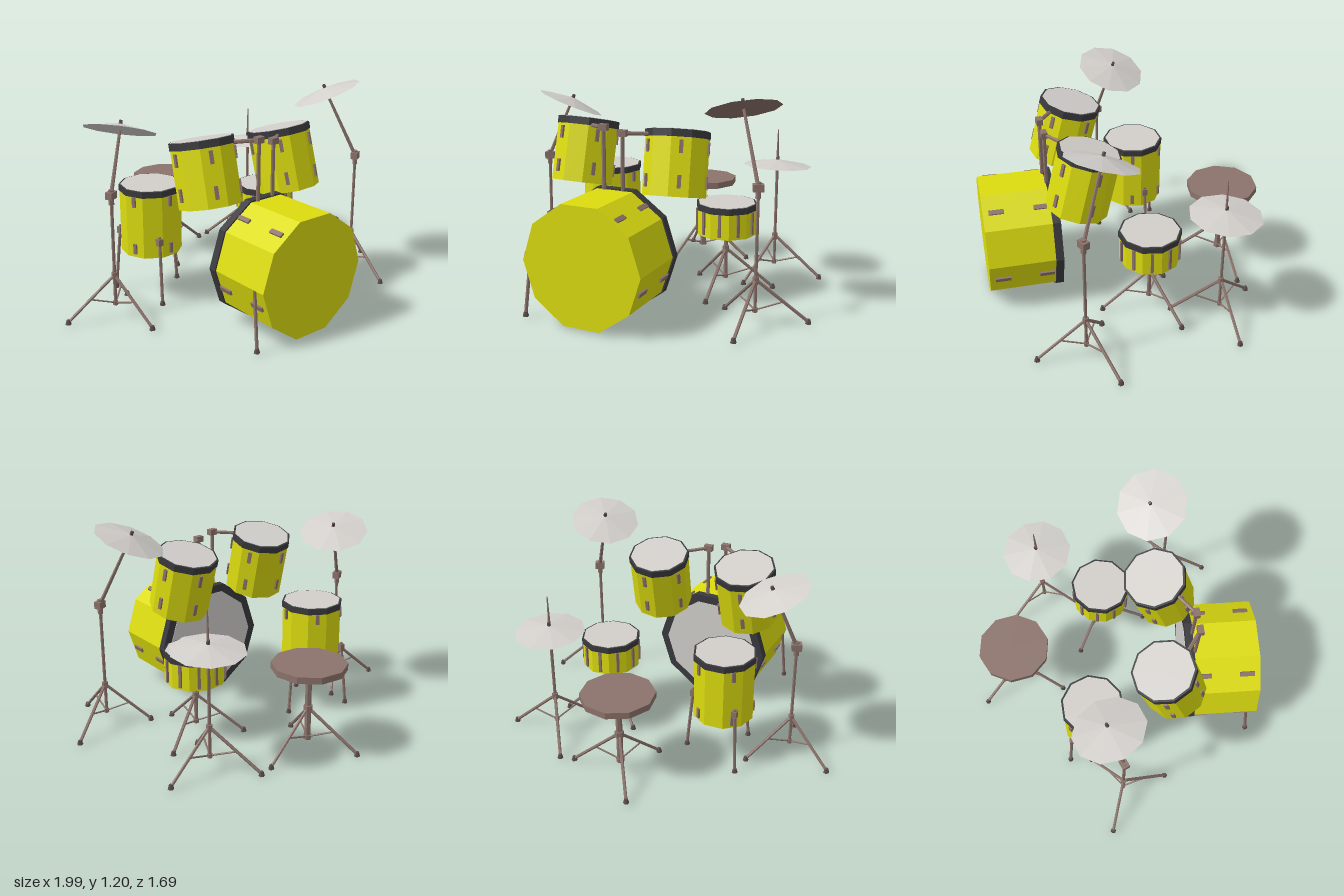
import * as THREE from 'three';

const D = Math.PI / 180;
const V = (a) => new THREE.Vector3(...a);
const material = (name, color) => {
  const m = new THREE.MeshStandardMaterial({ color, flatShading: true });
  m.name = name;
  return m;
};

export function createModel() {
  const shellYellow = material('shell yellow', 0xdcdc10);
  const rimDark = material('rim charcoal', 0x3a3a3e);
  const skinGrey = material('skin and cymbal grey', 0xd2cfcb);
  const metalBrown = material('stand brown', 0x8c736c);
  const footDark = material('foot dark brown', 0x5c4d4a);

  const root = new THREE.Group();
  root.name = 'drumKit';

  const group = (name, parent = root) => {
    const g = new THREE.Group();
    g.name = name;
    parent.add(g);
    return g;
  };
  const add = (parent, name, geometry, mat, pos = [0, 0, 0]) => {
    const m = new THREE.Mesh(geometry, mat);
    m.name = name;
    m.position.set(...pos);
    parent.add(m);
    return m;
  };
  // straight bar between two points
  const rod = (parent, name, a, b, r, r2 = r, mat = metalBrown) => {
    const d = V(b).sub(V(a));
    const m = add(parent, name, new THREE.CylinderGeometry(r2, r, d.length(), 6), mat);
    m.position.copy(V(a)).addScaledVector(d, 0.5);
    m.quaternion.setFromUnitVectors(new THREE.Vector3(0, 1, 0), d.normalize());
    return m;
  };
  const foot = (parent, x, z) =>
    add(parent, 'rubberFoot', new THREE.CylinderGeometry(0.01, 0.017, 0.026, 6), footDark, [x, 0.013, z]);

  // ten-sided drum; local +y points to the head, origin at the closed end
  function drum(name, o) {
    const g = group(name);
    g.position.set(...o.pos);
    g.rotation.set(...(o.rot || [0, 0, 0]), 'YXZ');
    const { r, h, band, phase } = o;
    const prism = (rad, len) => new THREE.CylinderGeometry(rad, rad, len, 10, 1, false, phase * D);
    add(g, 'shell', prism(r, h - band), shellYellow, [0, (h - band) / 2, 0]);
    add(g, 'rim', prism(r * 1.025, band), rimDark, [0, h - band / 2, 0]);
    add(g, 'head', prism(r * o.head, 0.006), skinGrey, [0, h, 0]);
    const apothem = r * Math.cos(18 * D);
    for (let a = 0; a < 360; a += o.step || 72) {
      const column = group('lugs', g);
      column.rotation.y = (phase + 18 + a) * D;
      for (const y of o.lugs)
        add(column, 'lug', new THREE.BoxGeometry(o.lugWidth || 0.02, o.lugLength, 0.014), metalBrown,
          [0, y, apothem + 0.004]);
    }
    return g;
  }

  drum('bassDrum', {
    pos: [-0.095, 0.33, 0.82], rot: [-Math.PI / 2, -0.07, 0], r: 0.347, h: 0.42, band: 0.045,
    phase: 18, head: 0.88, lugs: [0.075, 0.325], lugLength: 0.085, lugWidth: 0.026,
  });
  drum('leftRackTom', {
    pos: [0.232, 0.627, 0.334], rot: [-0.245, 0, 0.03], r: 0.175, h: 0.355, band: 0.04,
    phase: 9, head: 0.96, lugs: [0.08, 0.265], lugLength: 0.07,
  });
  drum('rightRackTom', {
    pos: [-0.34, 0.652, 0.3], rot: [-0.245, 0, -0.03], r: 0.175, h: 0.355, band: 0.04,
    phase: -45, head: 0.96, lugs: [0.08, 0.265], lugLength: 0.07,
  });
  drum('floorTom', {
    pos: [-0.37, 0.27, -0.18], r: 0.175, h: 0.395, band: 0.035,
    phase: -17, head: 0.96, lugs: [0.05, 0.33], lugLength: 0.06,
  });
  drum('snareDrum', {
    pos: [0.415, 0.345, -0.035], r: 0.172, h: 0.18, band: 0.035,
    phase: -14, step: 36, head: 0.96, lugs: [0.08], lugLength: 0.13, lugWidth: 0.016,
  });

  // spur of the bass drum
  const spur = group('bassDrumSpur');
  rod(spur, 'leg', [-0.435, 0.33, 0.73], [-0.453, 0.015, 0.77], 0.01);
  foot(spur, -0.453, 0.77);

  // legs of the floor tom
  const floorLegs = group('floorTomLegs');
  for (const [x, z] of [[-0.51, -0.35], [-0.16, -0.21], [-0.46, 0.02]]) {
    const k = 0.83;
    const tx = -0.37 + (x + 0.37) * k, tz = -0.18 + (z + 0.18) * k;
    rod(floorLegs, 'leg', [x, 0.015, z], [tx, 0.4, tz], 0.009);
    add(floorLegs, 'legBracket', new THREE.BoxGeometry(0.03, 0.04, 0.03), metalBrown, [tx, 0.37, tz]);
    foot(floorLegs, x, z);
  }

  // posts and arms carrying the two rack toms
  const mounts = group('tomMounts');
  for (const [x, y, ex, ez] of [[-0.13, 1.0, -0.25, 0.35], [-0.02, 0.975, 0.1, 0.36]]) {
    rod(mounts, 'post', [x, 0.6, 0.445], [x, y, 0.445], 0.011);
    add(mounts, 'clamp', new THREE.BoxGeometry(0.05, 0.035, 0.035), metalBrown, [x, y, 0.445]);
    rod(mounts, 'arm', [x, y, 0.445], [ex, y - 0.01, ez], 0.011);
  }

  // three-legged base with centre column and braces
  function tripod(name, cx, cz, feet, top, r = 0.009, hub = 0.25) {
    const g = group(name);
    rod(g, 'column', [cx, 0.07, cz], [cx, top, cz], r);
    rod(g, 'hub', [cx, hub - 0.025, cz], [cx, hub + 0.015, cz], r + 0.008);
    rod(g, 'lowerCollar', [cx, 0.07, cz], [cx, 0.095, cz], r + 0.005);
    for (const [x, z] of feet) {
      rod(g, 'leg', [cx, hub, cz], [x, 0.012, z], 0.009);
      rod(g, 'brace', [cx, 0.082, cz], [cx + (x - cx) * 0.52, hub * 0.5, cz + (z - cz) * 0.52], 0.005);
      foot(g, x, z);
    }
    return g;
  }

  // shallow ten-sided cymbal, its axis along the given direction
  function cymbal(name, center, axis, under) {
    const g = group(name);
    g.position.set(...center);
    g.quaternion.setFromUnitVectors(new THREE.Vector3(0, 1, 0), V(axis).normalize());
    add(g, 'disc', new THREE.CylinderGeometry(0.008, 0.203, 0.035, 10), [skinGrey, skinGrey, under], [0, 0.0175, 0]);
    add(g, 'wingNut', new THREE.CylinderGeometry(0.009, 0.011, 0.025, 6), footDark, [0, 0.043, 0]);
  }

  // cymbals on angled booms
  function boomStand(name, base, feet, center, axis, under) {
    const [x, y, z] = base;
    const g = tripod(name, x, z, feet, y);
    const clamp = add(g, 'clamp', new THREE.BoxGeometry(0.055, 0.04, 0.04), metalBrown, base);
    clamp.rotation.y = 0.4;
    rod(g, 'clampSleeve', [x, y - 0.055, z], [x, y + 0.03, z], 0.015);
    rod(g, 'boom', base, center, 0.011, 0.008);
    cymbal(name + 'Cymbal', center, axis, under);
  }
  boomStand('rightBoom', [-0.735, 0.71, -0.05], [[-0.985, -0.145], [-0.69, 0.215], [-0.53, -0.22]],
    [-0.615, 1.03, -0.115], [0.36, 1, -0.22], skinGrey);
  boomStand('leftBoom', [0.72, 0.74, 0.42], [[0.98, 0.305], [0.685, 0.685], [0.51, 0.275]],
    [0.595, 1.115, 0.285], [-0.25, 1, -0.33], metalBrown);

  // pedal cymbal with its thin upright rod
  const hat = tripod('pedalCymbalStand', 0.615, -0.39, [[0.46, -0.625], [0.89, -0.405], [0.495, -0.14]], 0.68);
  rod(hat, 'pullRod', [0.615, 0.68, -0.39], [0.615, 0.9, -0.39], 0.009, 0.003);
  cymbal('pedalCymbal', [0.615, 0.685, -0.39], [0.02, 1, -0.06], skinGrey);

  // snare stand
  tripod('snareStand', 0.415, -0.035, [[0.2, -0.2], [0.67, -0.145], [0.385, 0.235]], 0.35, 0.011);

  // stool
  const stool = tripod('stoolBase', 0.085, -0.595, [[-0.065, -0.83], [0.375, -0.61], [-0.04, -0.345]], 0.495, 0.018, 0.26);
  add(stool, 'seat', new THREE.CylinderGeometry(0.207, 0.207, 0.037, 10, 1, false, 8 * D), metalBrown, [0.085, 0.509, -0.595]);

  return root;
}
